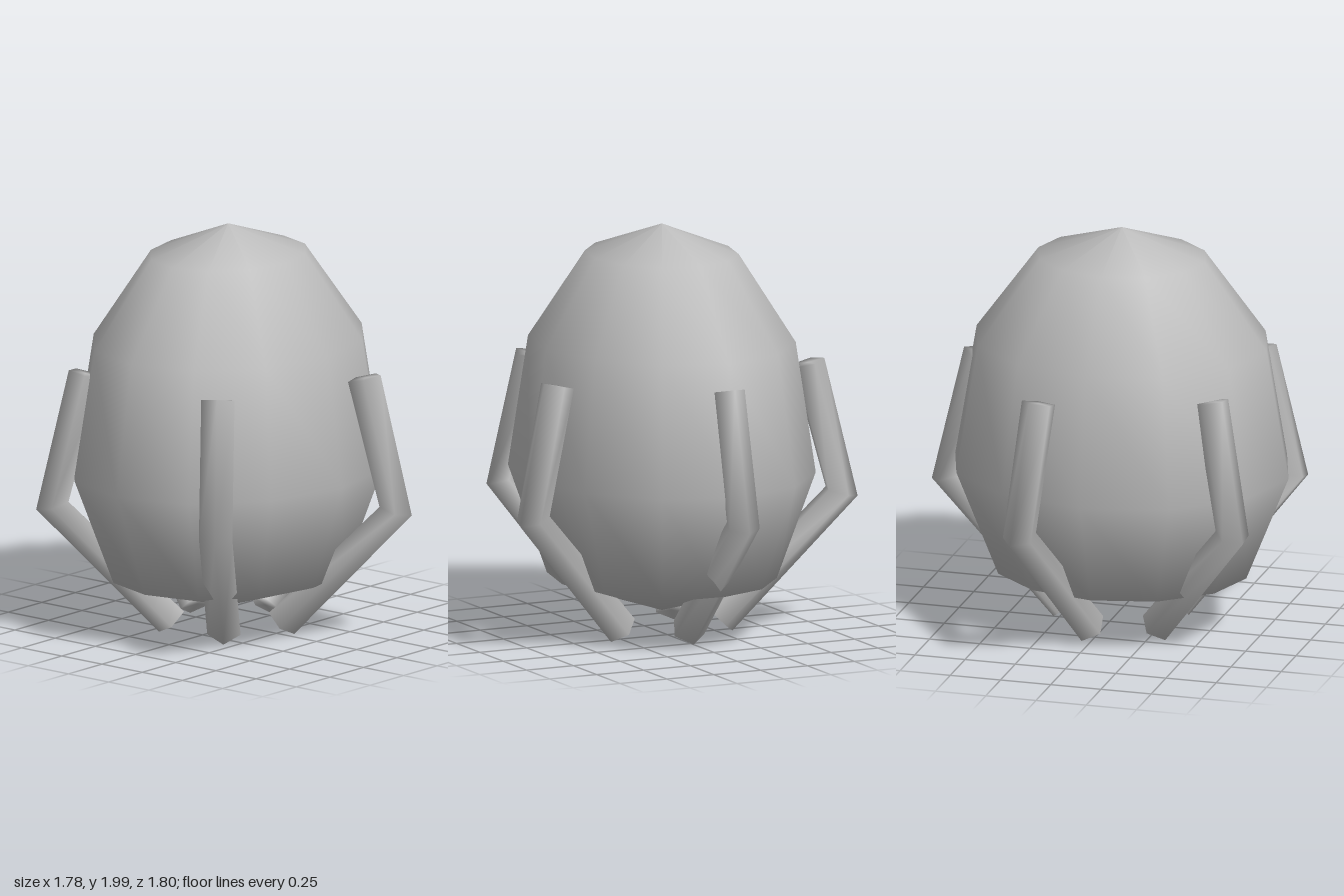
import * as THREE from 'three';
import { mergeVertices } from 'three/addons/utils/BufferGeometryUtils.js';

const CENTER_X = -0.06;

// Five-sided tube bent once at the knee; each ring is placed in the (outward, up) plane.
function legGeometry(radius) {
  const rings = [
    { at: [0.703, 1.305], out: [0.973, 0.23] },   // upper end
    { at: [0.864, 0.672], out: [0.966, -0.26] },  // knee
    { at: [0.279, 0.068], out: [0.727, -0.687] }, // foot
  ];
  const geo = new THREE.CylinderGeometry(radius, radius, 2, 5, 2, false, Math.PI / 2);
  const pos = geo.attributes.position;
  for (let i = 0; i < pos.count; i++) {
    const ring = rings[Math.round(1 - pos.getY(i))];
    const d = pos.getX(i);
    pos.setXY(i, ring.at[0] + d * ring.out[0], ring.at[1] + d * ring.out[1]);
  }
  // Weld everything so the shading flows over edges and ends
  geo.deleteAttribute('uv');
  geo.deleteAttribute('normal');
  const welded = mergeVertices(geo, 1e-4);
  welded.computeVertexNormals();
  return welded;
}

export function createModel() {
  const model = new THREE.Group();
  model.name = 'eggInClaw';

  const grey = new THREE.MeshStandardMaterial({ color: 0xbbbbbb });
  grey.name = 'plainGrey';

  // Egg: twelve-sided, slightly narrower from front to back
  const profile = [
    [0, 0.12], [0.62, 0.29], [0.83, 0.81], [0.722, 1.44], [0.415, 1.86], [0, 2],
  ].map(([r, y]) => new THREE.Vector2(r, y));
  const egg = new THREE.Mesh(new THREE.LatheGeometry(profile, 12), grey);
  egg.name = 'egg';
  egg.position.x = CENTER_X;
  egg.scale.z = 0.855;
  model.add(egg);

  // Five bent legs gripping the egg
  const legGeo = legGeometry(0.084);
  for (let i = 0; i < 5; i++) {
    const leg = new THREE.Mesh(legGeo, grey);
    leg.name = `leg${i + 1}`;
    leg.position.x = CENTER_X;
    leg.rotation.y = (i * Math.PI * 2) / 5;
    model.add(leg);
  }

  return model;
}
